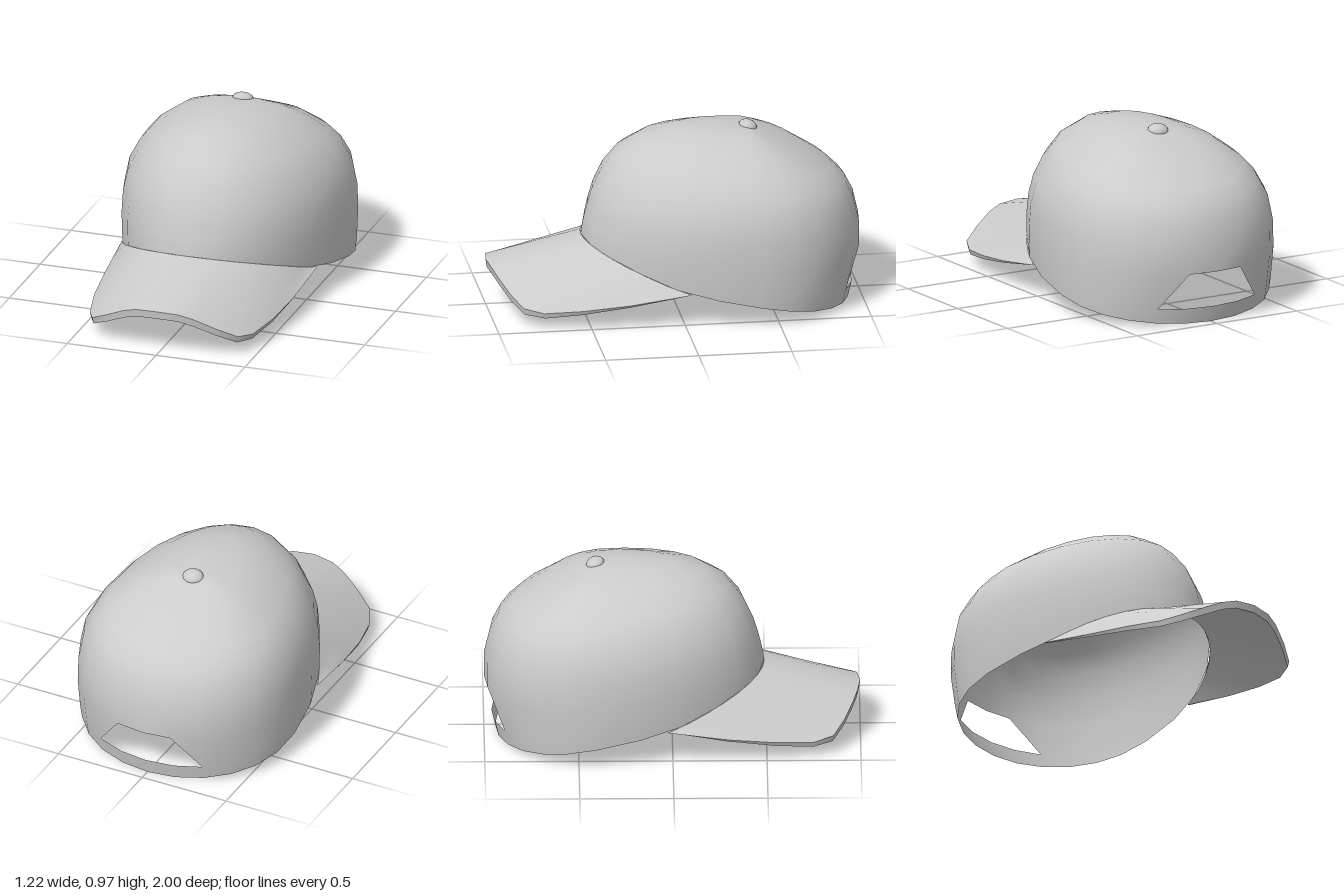
import * as THREE from 'three';
import { toCreasedNormals } from 'three/addons/utils/BufferGeometryUtils.js';

const SEGMENTS = 24;
const CENTRE_Z = -0.4;
const material = new THREE.MeshStandardMaterial({ color: 0xcccccc, side: THREE.DoubleSide });

// Height of the sweatband edge, rising from back to front
const rimHeight = (z) => 0.188 + (z < 0 ? 0.2 : 0.371) * z;

// Crown rings from rim to top: front z, y; side half-width, y; back z, y
const rings = [
  [0.49, 0.37, 0.6, 0.11, -0.94, 0],
  [0.485, 0.41, 0.606, 0.19, -0.96, 0.087],
  [0.475, 0.46, 0.61, 0.33, -1, 0.285],
  [0.455, 0.54, 0.605, 0.47, -1, 0.42],
  [0.43, 0.62, 0.58, 0.6, -0.97, 0.55],
  [0.38, 0.73, 0.525, 0.7, -0.925, 0.64],
  [0.3, 0.83, 0.455, 0.78, -0.85, 0.715],
  [0.18, 0.905, 0.32, 0.875, -0.7, 0.81],
  [0, 0.948, 0.2, 0.918, -0.56, 0.875],
  [-0.2, 0.956, 0.1, 0.936, -0.48, 0.912],
];

function crownPoint(level, angle) {
  const [fz, fy, w, sy, bz, by] = rings[level];
  const c = Math.cos(angle);
  const z = c > 0
    ? CENTRE_Z + (fz - CENTRE_Z) * c
    : CENTRE_Z + (bz - CENTRE_Z) * Math.pow(-c, 0.9);
  const y = level === 0
    ? rimHeight(z)
    : sy + ((fy - by) / 2) * c + ((fy + by) / 2 - sy) * c * c;
  return [w * Math.sin(angle), y, z];
}

function makeGeometry(points, index) {
  const geometry = new THREE.BufferGeometry();
  geometry.setAttribute('position', new THREE.Float32BufferAttribute(points.flat(), 3));
  geometry.setIndex(index);
  geometry.computeVertexNormals();
  return geometry;
}

function createCrown() {
  const points = [];
  const index = [];
  rings.forEach((_, level) => {
    for (let i = 0; i < SEGMENTS; i++) points.push(crownPoint(level, (i / SEGMENTS) * Math.PI * 2));
  });
  const pole = points.push([0, 0.94, CENTRE_Z]) - 1;
  const back = SEGMENTS / 2;

  for (let level = 0; level < rings.length; level++) {
    for (let i = 0; i < SEGMENTS; i++) {
      const next = (i + 1) % SEGMENTS;
      const a = level * SEGMENTS + i;
      const b = level * SEGMENTS + next;
      if (level === rings.length - 1) {
        index.push(a, b, pole);
        continue;
      }
      const c = b + SEGMENTS;
      const d = a + SEGMENTS;
      // Arched opening above the back strap
      if (level === 1 && (i === back - 1 || i === back)) continue;
      if (level === 1 && i === back - 2) index.push(a, c, d);
      else if (level === 1 && i === back + 1) index.push(b, c, d);
      else index.push(a, b, c, a, c, d);
    }
  }
  return makeGeometry(points, index);
}

// Outer edge of the brim, centre to side
const brimEdge = [
  [0, 0.25, 1], [0.12, 0.242, 0.985], [0.2, 0.215, 0.962],
  [0.31, 0.158, 0.915], [0.41, 0.105, 0.855], [0.46, 0.088, 0.75],
  [0.505, 0.106, 0.55], [0.532, 0.134, 0.3], [0.55, 0.183, -0.025],
];

function createBrim() {
  const half = brimEdge.length - 1;
  const sections = [];
  for (let i = -half; i <= half; i++) {
    const k = Math.abs(i);
    const [ex, y, z] = brimEdge[k];
    const x = ex * Math.sign(i);
    const inner = crownPoint(0, (i / half) * 1.129);
    const drop = 0.042 * (1 - Math.pow(k / half, 2.5));
    const middle = inner.map((v, n) => (v + [x, y, z][n]) / 2);
    // Closed section: underside, front lip, top
    sections.push([
      [inner[0], inner[1] - drop * 0.3, inner[2]],
      [x * 0.985, y - drop, z - 0.005],
      [x, y, z],
      middle,
      inner,
    ]);
  }
  const rows = sections[0].length;
  const index = [];
  for (let i = 0; i < sections.length - 1; i++) {
    for (let j = 0; j < rows - 1; j++) {
      const a = i * rows + j;
      const b = a + rows;
      index.push(a, b, b + 1, a, b + 1, a + 1);
    }
  }
  return toCreasedNormals(makeGeometry(sections.flat(), index), 0.8);
}

export function createModel() {
  const cap = new THREE.Group();
  cap.name = 'cap';
  const add = (name, geometry) => {
    const mesh = new THREE.Mesh(geometry, material);
    mesh.name = name;
    cap.add(mesh);
    return mesh;
  };

  add('crown', createCrown());
  add('brim', createBrim());

  // Flattened button on the crown
  const button = add('topButton', new THREE.SphereGeometry(1, 16, 10));
  button.scale.set(0.058, 0.034, 0.05);
  button.position.set(0, 0.931, -0.408);
  button.rotation.x = -0.3;

  return cap;
}
